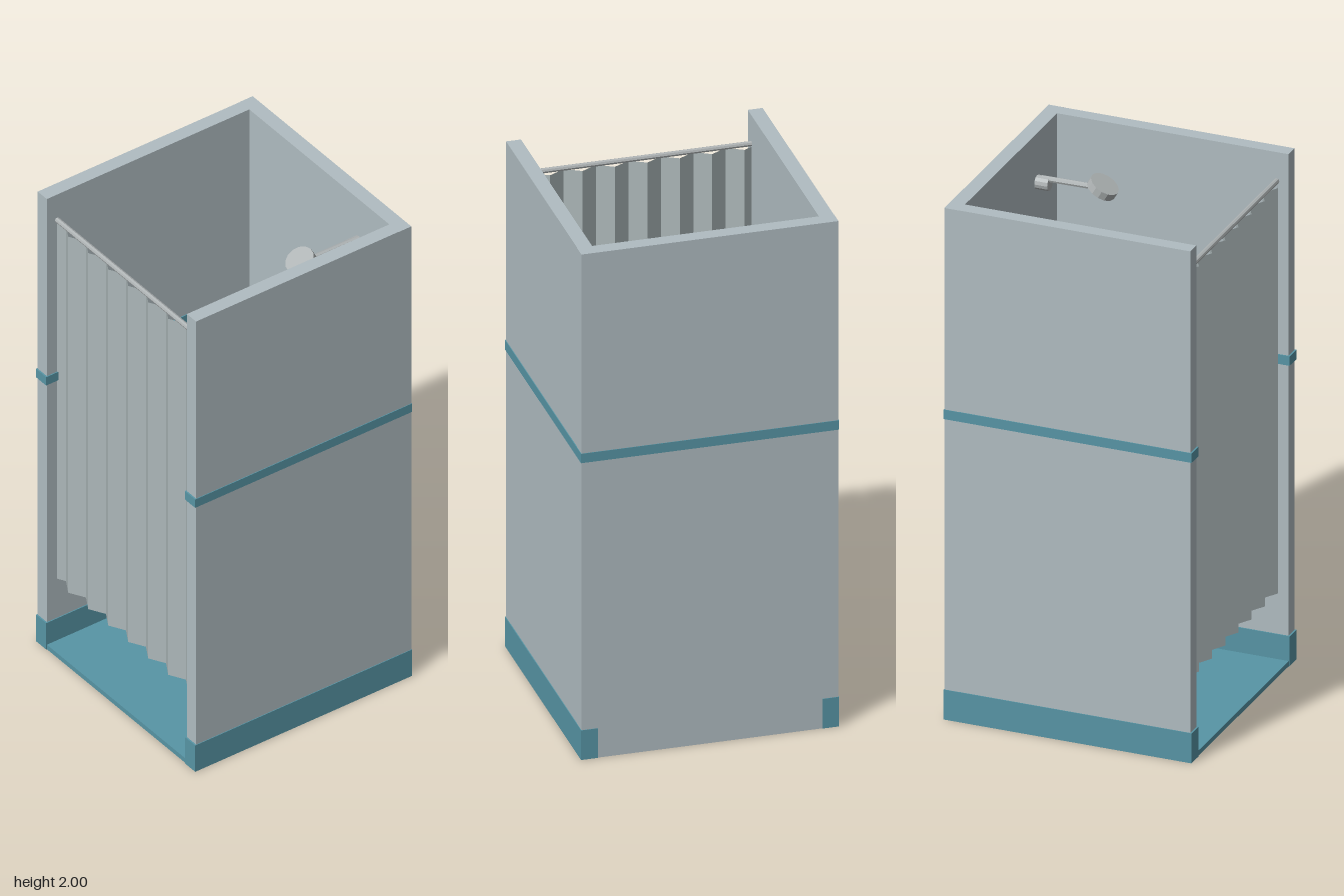
import * as THREE from 'three';

const mat = (name, color, extra = {}) =>
  Object.assign(new THREE.MeshStandardMaterial({ color, ...extra }), { name });

export function createModel() {
  const wall = mat('wallGrey', 0xb0bcc1);
  const teal = mat('teal', 0x5795a5);
  const metal = mat('metal', 0xaeb3b4, { flatShading: true });
  const cloth = mat('curtainGrey', 0xadb8ba, { side: THREE.DoubleSide, flatShading: true });

  const root = new THREE.Group();
  root.name = 'showerStall';

  const add = (name, geo, material, x = 0, y = 0, z = 0) => {
    const m = new THREE.Mesh(geo, material);
    m.name = name;
    m.position.set(x, y, z);
    root.add(m);
    return m;
  };
  // Box given by its lower and upper corners
  const box = (name, material, [x0, y0, z0], [x1, y1, z1]) =>
    add(name, new THREE.BoxGeometry(x1 - x0, y1 - y0, z1 - z0), material,
      (x0 + x1) / 2, (y0 + y1) / 2, (z0 + z1) / 2);
  // Cylinder between two points
  const bar = (name, material, a, b, r, sides) => {
    const p = new THREE.Vector3(...a), q = new THREE.Vector3(...b);
    const d = q.clone().sub(p);
    const m = add(name, new THREE.CylinderGeometry(r, r, d.length(), sides), material);
    m.position.copy(p).add(q).multiplyScalar(0.5);
    m.quaternion.setFromUnitVectors(new THREE.Vector3(0, 1, 0), d.normalize());
    return m;
  };

  const W = 0.478, I = 0.42;

  // Floor tray and drain
  box('floor', teal, [-0.416, 0, -I], [0.416, 0.02, 0.475]);
  add('drain', new THREE.CylinderGeometry(0.065, 0.065, 0.008, 12), metal, 0, 0.023, -0.097);

  // Back wall with its stripe
  box('backWall', wall, [-0.416, 0, -0.476], [0.416, 0.115, -I]);
  box('backWall', wall, [-0.476, 0.115, -0.476], [0.476, 2, -I]);
  box('backStripe', teal, [-W, 1.175, -W], [W, 1.212, -0.417]);

  // Side walls, base blocks and stripes, mirrored
  for (const s of [1, -1]) {
    const side = s > 0 ? 'left' : 'right';
    const sideBox = (name, m, a, b, y0, y1, z0, z1) =>
      box(side + name, m, [s > 0 ? a : -b, y0, z0], [s > 0 ? b : -a, y1, z1]);
    sideBox('Wall', wall, I, 0.475, 0.115, 2, -I, 0.472);
    sideBox('Base', teal, 0.416, W, 0, 0.117, -W, W);
    sideBox('Stripe', teal, 0.416, W, 1.175, 1.212, -0.417, W);
  }

  // Curtain rod
  bar('curtainRod', metal, [-I, 1.888, 0.427], [I, 1.888, 0.427], 0.01, 8);

  // Pleated curtain: a zigzag swept from top to bottom
  const xs = [-I];
  for (let k = 0; k < 14; k++) xs.push(-0.39 + 0.06 * k);
  xs.push(I);
  const zAt = (i) => (i === 0 || i === 15 ? 0.427 : i % 2 ? 0.41 : 0.444);
  const pos = [];
  const top = 1.875, low = 0.29;
  for (let i = 0; i < 15; i++) {
    const [a, b, za, zb] = [xs[i], xs[i + 1], zAt(i), zAt(i + 1)];
    pos.push(a, low, za, b, low, zb, b, top, zb, a, low, za, b, top, zb, a, top, za);
  }
  const curtain = new THREE.BufferGeometry();
  curtain.setAttribute('position', new THREE.Float32BufferAttribute(pos, 3));
  curtain.computeVertexNormals();
  add('curtain', curtain, cloth);

  // Soap shelf with a low front lip
  box('soapShelf', wall, [-0.352, 1.0, -I], [-0.128, 1.03, -0.33]);
  box('soapShelfLip', wall, [-0.352, 1.03, -0.335], [-0.128, 1.038, -0.33]);

  // Shower bracket, arm and tilted head
  const hx = 0.237;
  bar('showerBracket', metal, [hx, 1.81, -I], [hx, 1.81, -0.37], 0.026, 12);
  bar('showerArm', metal, [hx, 1.828, -0.4], [hx, 1.83, -0.18], 0.011, 8);
  const head = add('showerHead', new THREE.CylinderGeometry(0.056, 0.056, 0.03, 14), metal, hx, 1.835, -0.166);
  head.rotation.x = 0.53;

  return root;
}
